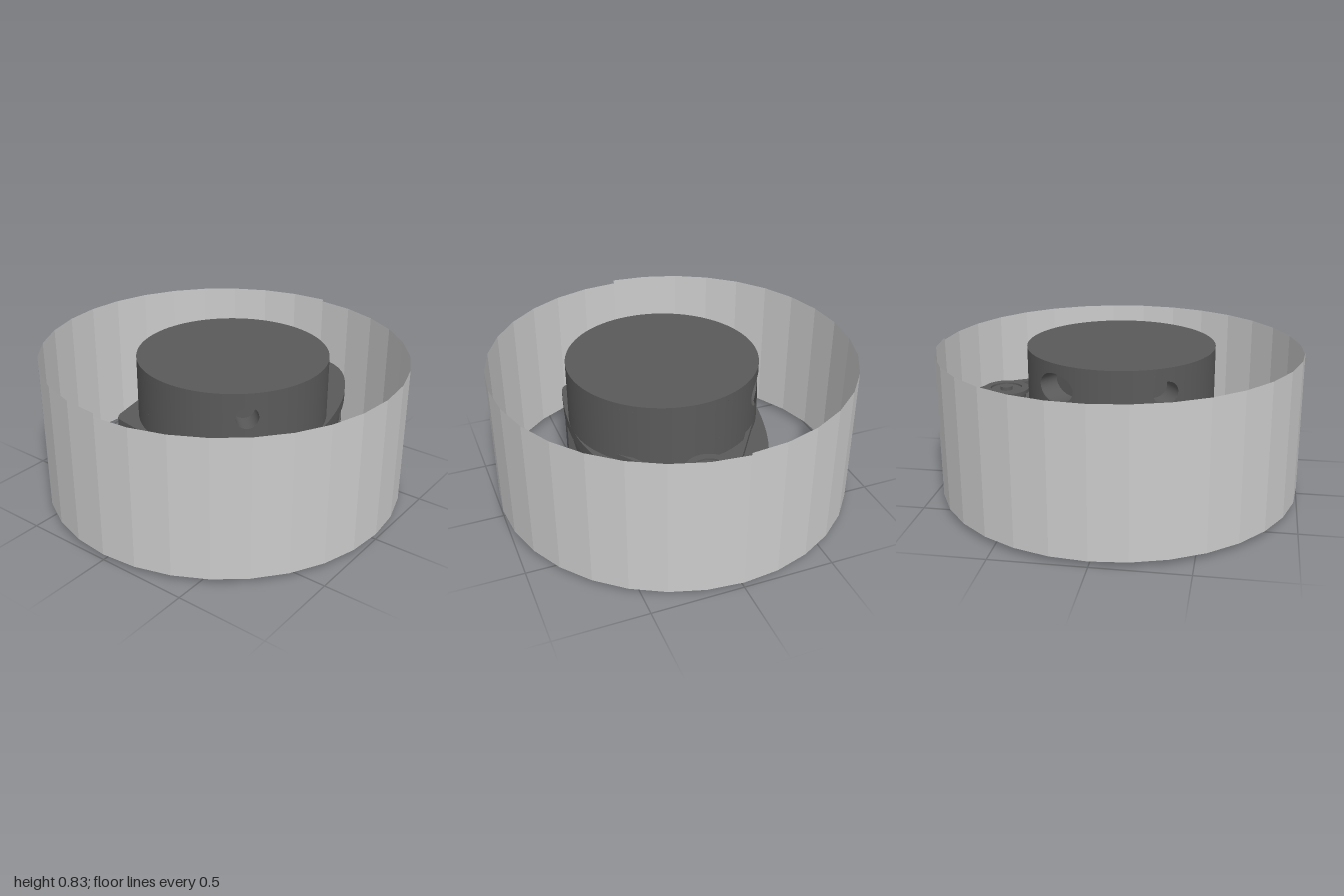
import * as THREE from 'three';

const CZ = 0.058; // centre line of the sensor along z
const R = 0.52;   // drum radius
const PULLEY_X = 0.67;

const wallMat = new THREE.MeshStandardMaterial({ color: 0xcccccc, flatShading: true, side: THREE.DoubleSide });
const darkMat = new THREE.MeshStandardMaterial({ color: 0x5a5a5a, side: THREE.DoubleSide });
const darkFlat = new THREE.MeshStandardMaterial({ color: 0x5a5a5a, flatShading: true });
const V = (x, y) => new THREE.Vector2(x, y);

function add(parent, name, geometry, material, x = 0, y = 0, z = 0) {
  const mesh = new THREE.Mesh(geometry, material);
  mesh.name = name;
  mesh.position.set(x, y, z);
  parent.add(mesh);
  return mesh;
}

// Flat slab from an outline in x/z, between two heights
function slab(shape, bottom, top) {
  const g = new THREE.ExtrudeGeometry(shape, { depth: top - bottom, bevelEnabled: false, curveSegments: 32 });
  return g.rotateX(Math.PI / 2).translate(0, top, 0);
}

// Closed outline mirrored about the centre line, from one half
function mirroredShape(half) {
  const other = half.slice().reverse().map(p => V(p.x, -p.y));
  return new THREE.Shape([...half, ...other]);
}

// Loop around the drum circle and the pulley circle, joined by tangents
function beltPoints(r1, r2) {
  const a = Math.acos((r1 - r2) / PULLEY_X), pts = [], n = 24;
  for (let i = 0; i <= n; i++) {
    const t = -a + (2 * a * i) / n;
    pts.push(V(PULLEY_X + r2 * Math.cos(t), r2 * Math.sin(t)));
  }
  for (let i = 0; i <= 2 * n; i++) {
    const t = a + ((2 * Math.PI - 2 * a) * i) / (2 * n);
    pts.push(V(r1 * Math.cos(t), r1 * Math.sin(t)));
  }
  return pts;
}

// Piece of drum wall with an oval opening: quads from the oval out to a rectangle
function windowPatch(angle, halfAngle, yMid, halfY, rx, ry) {
  const pos = [], idx = [], n = 48;
  const put = (u, v) => pos.push(R * Math.sin(angle + u), yMid + v, R * Math.cos(angle + u));
  for (let i = 0; i <= n; i++) {
    const t = Math.PI / 4 + (i / n) * Math.PI * 2, c = Math.cos(t), s = Math.sin(t);
    const k = 1 / Math.max(Math.abs(c), Math.abs(s));
    put((c * rx) / R, s * ry);
    put(c * k * halfAngle, s * k * halfY);
    if (i < n) idx.push(2 * i, 2 * i + 1, 2 * i + 3, 2 * i, 2 * i + 3, 2 * i + 2);
  }
  const g = new THREE.BufferGeometry();
  g.setAttribute('position', new THREE.Float32BufferAttribute(pos, 3));
  g.setIndex(idx);
  // Radial normals keep the patch continuous with the rest of the wall
  const normals = pos.map((v, i) => (i % 3 === 1 ? 0 : v / R));
  g.setAttribute('normal', new THREE.Float32BufferAttribute(normals, 3));
  return g;
}

function buildDrum() {
  const drum = new THREE.Group();
  drum.name = 'drum';
  const base = 0.46, top = 0.815, yMid = 0.68, halfY = 0.1;
  const band = (name, y0, y1, start, length) => add(drum, name,
    new THREE.CylinderGeometry(R, R, y1 - y0, Math.ceil(length * 16), 1, true, start, length), darkMat, 0, (y0 + y1) / 2, 0);
  band('lowerDrumWall', base, yMid - halfY, 0, Math.PI * 2);
  band('upperDrumWall', yMid + halfY, top, 0, Math.PI * 2);
  add(drum, 'drumLid', new THREE.CircleGeometry(R, 100).rotateX(-Math.PI / 2), darkMat, 0, top, 0);

  // Sensor openings around the wall, each with a blind bore behind it
  const windows = [
    { angle: -0.78, rx: 0.06, ry: 0.06 },
    { angle: Math.PI - 0.58, rx: 0.12, ry: 0.08 },
    { angle: Math.PI + 0.61, rx: 0.073, ry: 0.062 },
  ];
  const half = w => w.rx / R + 0.04;
  windows.forEach((w, i) => {
    add(drum, 'sensorWindow', windowPatch(w.angle, half(w), yMid, halfY, w.rx, w.ry), darkMat);
    const bore = new THREE.Group();
    bore.name = 'sensorBore';
    bore.position.y = yMid;
    bore.rotation.y = w.angle;
    bore.scale.set(w.rx, w.ry, 1);
    const mouth = R * Math.cos(w.rx / R), depth = 0.12;
    add(bore, 'boreTube', new THREE.CylinderGeometry(1, 1, depth, 32, 1, true).rotateX(Math.PI / 2), darkMat, 0, 0, mouth - depth / 2);
    add(bore, 'boreLens', new THREE.CircleGeometry(1, 32), darkMat, 0, 0, mouth - depth);
    drum.add(bore);

    // Solid wall up to the next opening
    const next = windows[(i + 1) % windows.length];
    const start = w.angle + half(w);
    const end = next.angle - half(next) + (i === windows.length - 1 ? Math.PI * 2 : 0);
    band('middleDrumWall', yMid - halfY, yMid + halfY, start, end - start);
  });
  return drum;
}

function buildSensor() {
  const sensor = new THREE.Group();
  sensor.name = 'sensor';
  sensor.position.z = CZ;

  // Teardrop base plate: straight-ish back, rounded corners, tapering nose
  const back = new THREE.SplineCurve([V(-0.525, 0), V(-0.51, 0.17), V(-0.475, 0.39), V(-0.459, 0.438), V(-0.42, 0.462)]);
  const flank = new THREE.SplineCurve([V(-0.42, 0.462), V(-0.2, 0.505), V(0, 0.52), V(0.2, 0.5), V(0.45, 0.43),
    V(0.65, 0.335), V(0.8, 0.23), V(0.885, 0.115), V(0.91, 0)]);
  const outline = flank.getPoints(40);
  add(sensor, 'basePlate', slab(mirroredShape([...back.getPoints(16), ...outline]), 0.41, 0.47), darkFlat);

  // Housing under the plate, stepping down to a circuit board under the nose
  const housing = outline.filter(p => p.x > -0.21).map(p => V(p.x, p.y * 0.93));
  add(sensor, 'lowerHousing', slab(mirroredShape(housing), 0.27, 0.41), darkFlat);
  const board = outline.filter(p => p.x > 0.42).map(p => V(p.x, p.y * 0.96));
  add(sensor, 'circuitBoard', slab(mirroredShape(board), 0.2, 0.27), darkFlat);

  sensor.add(buildDrum());

  // Drive belt and pulley
  const belt = new THREE.Shape(beltPoints(0.515, 0.135));
  belt.holes.push(new THREE.Path(beltPoints(0.495, 0.115)));
  add(sensor, 'driveBelt', slab(belt, 0.47, 0.505), darkFlat);
  const profile = [[0, 0.47], [0.11, 0.47], [0.11, 0.505], [0.13, 0.505], [0.13, 0.525], [0.09, 0.525], [0.09, 0.515],
    [0.035, 0.515], [0.035, 0.535], [0, 0.535]].map(p => V(...p));
  // Each profile edge is its own lathe, which keeps the rims sharp
  const pulley = new THREE.Group();
  pulley.name = 'pulley';
  pulley.position.x = PULLEY_X;
  for (let i = 0; i < profile.length - 1; i++) {
    add(pulley, 'pulleyRing', new THREE.LatheGeometry([profile[i], profile[i + 1]], 40), darkMat);
  }
  sensor.add(pulley);

  // Hexagonal standoffs with a small screw hole
  const hex = new THREE.Shape();
  for (let i = 0; i < 6; i++) {
    const a = (i * Math.PI) / 3;
    hex[i ? 'lineTo' : 'moveTo'](0.041 * Math.cos(a), 0.041 * Math.sin(a));
  }
  hex.holes.push(new THREE.Path().absarc(0, 0, 0.016, 0, Math.PI * 2, true));
  for (const side of [-1, 1]) {
    add(sensor, 'rearStandoff', slab(hex, 0, 0.41), darkFlat, -0.417, 0, side * 0.415);
    add(sensor, 'noseStandoff', slab(hex, 0, 0.2), darkFlat, 0.62, 0, side * 0.295);
  }

  // Motor end and connectors below the circuit board
  add(sensor, 'motorEnd', new THREE.CylinderGeometry(0.055, 0.055, 0.06, 24), darkMat, 0.65, 0.17, 0.02);
  const parts = [[0.46, 0.14, 0.12, 0.07, 0.1], [0.5, 0.04, 0.05, 0.03, 0.12],
    [0.8, -0.06, 0.04, 0.03, 0.2], [0.72, -0.16, 0.14, 0.03, 0.04]];
  for (const [x, z, w, h, d] of parts) add(sensor, 'connector', new THREE.BoxGeometry(w, h, d), darkFlat, x, 0.2 - h / 2, z);
  for (let i = 0; i < 4; i++) {
    add(sensor, 'pinHeader', new THREE.BoxGeometry(0.06, 0.045, 0.04), darkFlat, 0.46, 0.178, -0.37 + i * 0.07);
  }
  return sensor;
}

// Half of the surrounding wall, with its top edge height set by x
function halfWall(start, topAt) {
  const g = new THREE.CylinderGeometry(1, 1, 1, 16, 1, true, start, Math.PI);
  const p = g.attributes.position;
  for (let i = 0; i < p.count; i++) p.setY(i, p.getY(i) > 0 ? topAt(p.getX(i)) : 0.032);
  return g;
}

export function createModel() {
  const model = new THREE.Group();
  model.name = 'scannerInRing';
  add(model, 'frontWall', halfWall(-Math.PI / 2, () => 0.81), wallMat);
  add(model, 'backWall', halfWall(Math.PI / 2, x => 0.826 - 0.004 * x), wallMat);
  model.add(buildSensor());
  return model;
}
